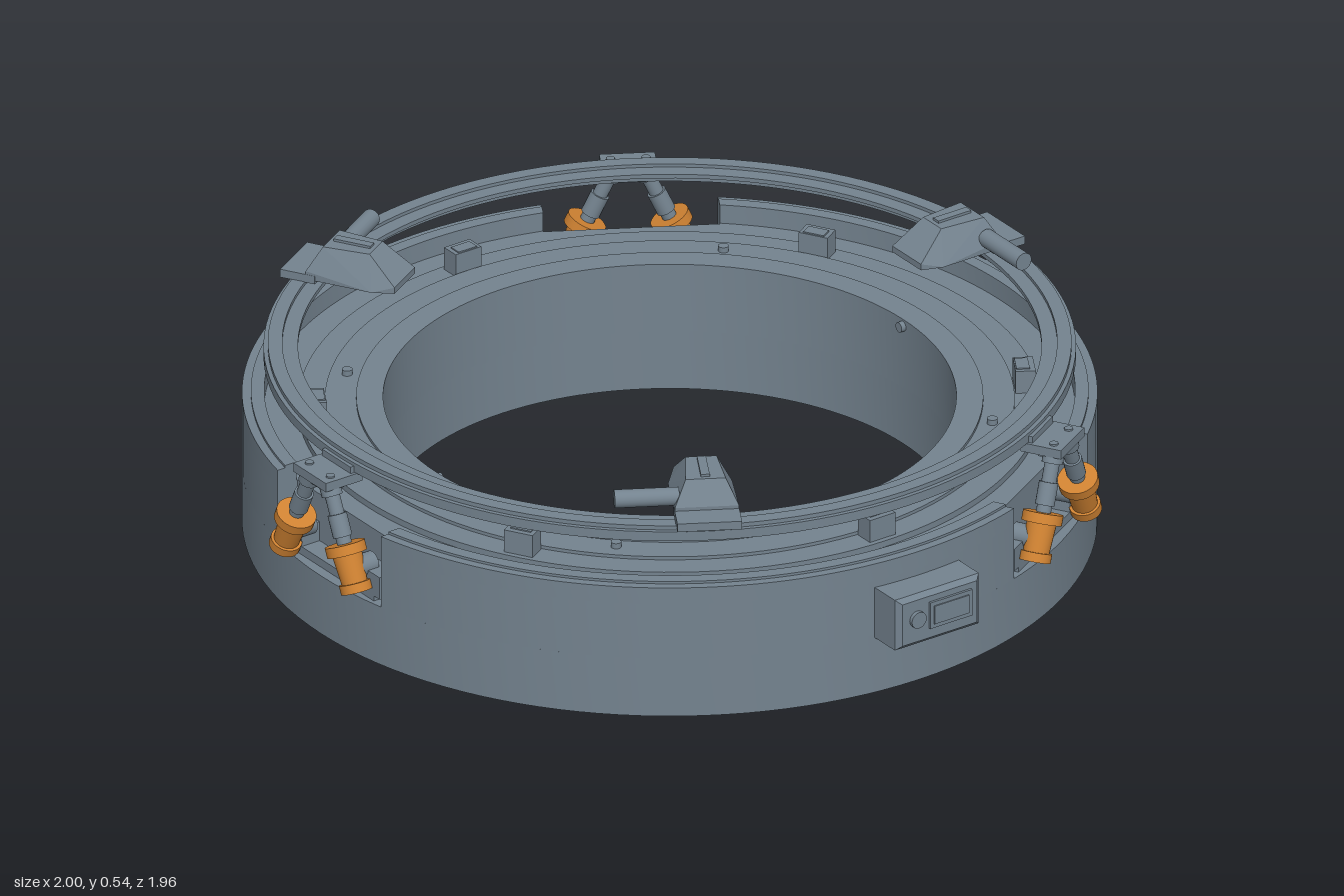
import * as THREE from 'three';
import { toCreasedNormals } from 'three/addons/utils/BufferGeometryUtils.js';
import { ConvexGeometry } from 'three/addons/geometries/ConvexGeometry.js';

const steel = new THREE.MeshStandardMaterial({ color: 0x74838f });
steel.name = 'steel grey';
const bronze = new THREE.MeshStandardMaterial({ color: 0xcf8232 });
bronze.name = 'bronze';

const RAD = Math.PI / 180;
const OUTER = 0.955, BORE = 0.64, NOTCH = 0.198;
const V = (x, y, z) => new THREE.Vector3(x, y, z);

function add(parent, name, geo, mat = steel) {
  const mesh = new THREE.Mesh(geo, mat);
  mesh.name = name;
  parent.add(mesh);
  return mesh;
}

// box given by its centre and size
function box(parent, name, [x, y, z], [w, h, d]) {
  add(parent, name, new THREE.BoxGeometry(w, h, d)).position.set(x, y, z);
}

// tapered cylinder running from a to b
function rod(parent, name, a, b, ra, rb = ra, mat = steel, sides = 20) {
  const dir = b.clone().sub(a);
  const mesh = add(parent, name, new THREE.CylinderGeometry(rb, ra, dir.length(), sides), mat);
  mesh.position.copy(a).add(b).multiplyScalar(0.5);
  mesh.quaternion.setFromUnitVectors(V(0, 1, 0), dir.normalize());
  return mesh;
}

// closed ring from (radius, height) pairs listed counter-clockwise
function ring(parent, name, profile) {
  const pts = [...profile, profile[0]].map(([r, y]) => new THREE.Vector2(r, y));
  add(parent, name, toCreasedNormals(new THREE.LatheGeometry(pts, 128), 0.5));
}

// plan outline extruded from y0 to y1
function slab(parent, name, shape, y0, y1) {
  const geo = new THREE.ExtrudeGeometry(shape, { depth: y1 - y0, bevelEnabled: false, curveSegments: 96 });
  geo.rotateX(-Math.PI / 2).translate(0, y0, 0);
  add(parent, name, toCreasedNormals(geo, 0.5));
}

function arc(r, a0, a1, n = 44) {
  return Array.from({ length: n + 1 }, (_, i) => {
    const a = a0 + (a1 - a0) * i / n;
    return new THREE.Vector2(r * Math.cos(a), r * Math.sin(a));
  });
}

// group turned so that its local +z points outward at the given plan angle
function station(parent, name, degrees) {
  const g = new THREE.Group();
  g.name = name;
  g.rotation.y = (90 - degrees) * RAD;
  parent.add(g);
  return g;
}

function buildBase(model) {
  const base = new THREE.Group();
  base.name = 'base';
  model.add(base);
  ring(base, 'lowerDrum', [[BORE, 0], [OUTER, 0], [OUTER, 0.145], [BORE, 0.145]]);
  ring(base, 'steppedDeck', [[BORE, 0.14], [0.83, 0.14], [0.83, 0.297], [0.77, 0.297], [0.77, 0.305],
    [0.70, 0.305], [0.70, 0.312], [BORE, 0.312]]);

  // drum body with three straight-sided notches
  const outline = [];
  const half = r => Math.asin(NOTCH / r);
  for (const deg of [30, 150, 270]) {
    const c = deg * RAD, next = c + 120 * RAD, depth = 0.88;
    const corner = t => new THREE.Vector2(
      depth * Math.cos(c) - t * Math.sin(c), depth * Math.sin(c) + t * Math.cos(c));
    outline.push(corner(-NOTCH), corner(NOTCH), ...arc(OUTER, c + half(OUTER), next - half(OUTER)));
    // raised rim between notches
    const rim = [...arc(OUTER, c + half(OUTER), next - half(OUTER)),
      ...arc(0.905, next - half(0.905), c + half(0.905))];
    slab(base, 'rim', new THREE.Shape(rim), 0.28, 0.322);
    const lip = [...arc(0.935, c + half(0.935), next - half(0.935)),
      ...arc(0.905, next - half(0.905), c + half(0.905))];
    slab(base, 'rimLip', new THREE.Shape(lip), 0.32, 0.328);
  }
  const body = new THREE.Shape(outline);
  body.holes.push(new THREE.Path(arc(0.66, 0, -2 * Math.PI, 96)));
  slab(base, 'notchedDrum', body, 0.145, 0.282);

  // locating blocks and pins on the deck
  for (let i = 0; i < 6; i++) {
    const s = station(base, 'deckBlock', i * 60);
    box(s, 'block', [0, 0.317, 0.795], [0.07, 0.07, 0.045]);
    box(s, 'blockCap', [0, 0.352, 0.79], [0.05, 0.006, 0.03]);
  }
  for (let i = 0; i < 4; i++)
    rod(station(base, 'deckPin', 45 + i * 90), 'pin', V(0, 0.3, 0.73), V(0, 0.318, 0.73), 0.012);
  for (const deg of [90, -90])
    rod(station(base, 'borePin', deg), 'pin', V(0, 0.295, 0.65), V(0, 0.295, 0.628), 0.012);
}

// inverted V of two struts with bronze end joints
function buildStruts(model, deg) {
  const s = station(model, 'strutPair', deg);
  box(s, 'topBracket', [0, 0.403, 0.938], [0.125, 0.022, 0.1]);
  box(s, 'bracketRiser', [0, 0.42, 0.885], [0.11, 0.02, 0.06]);
  box(s, 'bracketBlock', [0, 0.385, 0.945], [0.075, 0.02, 0.05]);
  box(s, 'notchSill', [0, 0.155, 0.905], [0.33, 0.02, 0.05]);
  for (const side of [-1, 1]) {
    const at = (t, dz = 0) => V(side * (0.135 - 0.1 * t), 0.175 + 0.215 * t, 0.958 + dz);
    rod(s, 'strut', at(0), at(1), 0.017);
    rod(s, 'strutSleeve', at(0.5), at(0.72), 0.022);
    rod(s, 'upperJoint', at(0.9), at(1.02), 0.024);
    rod(s, 'jointCup', at(0.02), at(0.33), 0.029, 0.034, bronze, 28);
    rod(s, 'jointFlange', at(0.33), at(0.43), 0.046, 0.046, bronze, 28);
    rod(s, 'jointBase', at(-0.04), at(0.05), 0.036, 0.036, bronze, 28);
    rod(s, 'jointPivot', V(side * 0.118, 0.215, 0.9), V(side * 0.118, 0.215, 0.955), 0.026);
    box(s, 'footMount', [side * 0.15, 0.185, 0.905], [0.075, 0.055, 0.05]);
    rod(s, 'bolt', V(side * 0.04, 0.412, 0.96), V(side * 0.04, 0.418, 0.96), 0.01);
  }
}

// wedge-shaped head with a side cylinder, standing on the upper ring
function buildHead(model, deg) {
  const s = station(model, 'sensorHead', deg);
  box(s, 'headPlate', [0, 0.457, 0.88], [0.145, 0.02, 0.085]);
  const corners = [];
  for (const x of [-1, 1]) {
    corners.push(V(x * 0.055, 0.455, 0.65), V(x * 0.072, 0.455, 0.70), V(x * 0.072, 0.455, 0.86),
      V(x * 0.072, 0.475, 0.86), V(x * 0.055, 0.47, 0.65),
      V(x * 0.035, 0.53, 0.72), V(x * 0.045, 0.53, 0.83));
  }
  add(s, 'headBody', new ConvexGeometry(corners));
  box(s, 'headRib', [0, 0.532, 0.775], [0.02, 0.008, 0.09]);
  rod(s, 'sideCylinder', V(-0.06, 0.487, 0.825), V(-0.205, 0.487, 0.825), 0.021);
}

function buildControlBox(model) {
  const s = station(model, 'controlBox', 0);
  const corners = [];
  for (const x of [-1, 1]) for (const y of [-1, 1]) {
    corners.push(V(x * 0.115, 0.2 + y * 0.063, 0.92), V(x * 0.115, 0.2 + y * 0.063, 1.025),
      V(x * 0.102, 0.2 + y * 0.052, 1.036));
  }
  add(s, 'housing', new ConvexGeometry(corners));
  box(s, 'display', [0.028, 0.205, 1.039], [0.115, 0.065, 0.006]);
  box(s, 'displayInset', [0.028, 0.205, 1.043], [0.095, 0.045, 0.004]);
  rod(s, 'knob', V(-0.062, 0.205, 1.03), V(-0.062, 0.205, 1.045), 0.02);
}

export function createModel() {
  const root = new THREE.Group();
  root.name = 'ringPlatform';
  const model = new THREE.Group();
  model.name = 'platform';
  model.position.set(-0.045, 0, -0.027);
  root.add(model);

  buildBase(model);
  // upper ring with a wide top flange and a raised inner lip
  ring(model, 'upperRing', [[0.845, 0.415], [0.907, 0.415], [0.907, 0.438], [0.897, 0.438], [0.897, 0.448],
    [0.865, 0.448], [0.865, 0.44], [0.83, 0.44], [0.83, 0.43], [0.845, 0.43]]);
  for (const deg of [90, -30, 210]) buildStruts(model, deg);
  for (const deg of [-90, 30, 150]) buildHead(model, deg);
  buildControlBox(model);
  return root;
}
